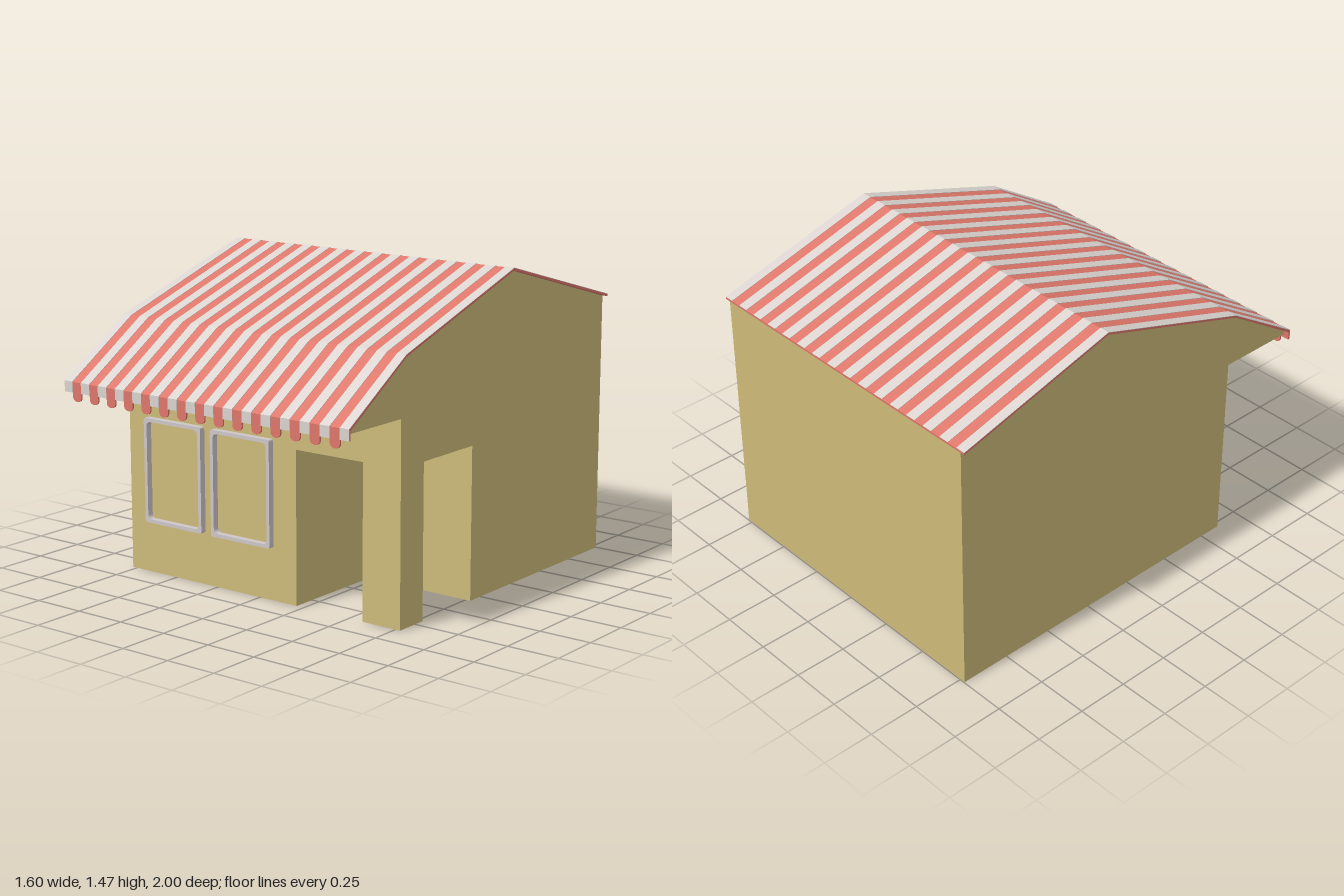
import * as THREE from 'three';

const mat = (name, color) => {
  const m = new THREE.MeshStandardMaterial({ color });
  m.name = name;
  return m;
};

// Extrudes a [z, y] side profile across the width from x0 to x1
function extrudeX(points, x0, x1) {
  const shape = new THREE.Shape(points.map(([z, y]) => new THREE.Vector2(z, y)));
  const geo = new THREE.ExtrudeGeometry(shape, { depth: x1 - x0, bevelEnabled: false });
  return geo.rotateY(-Math.PI / 2).translate(x1, 0, 0);
}

// Traces a rounded rectangle on a shape or path
function roundedRect(path, x0, y0, x1, y1, r) {
  path.moveTo(x0 + r, y0);
  path.lineTo(x1 - r, y0);
  path.quadraticCurveTo(x1, y0, x1, y0 + r);
  path.lineTo(x1, y1 - r);
  path.quadraticCurveTo(x1, y1, x1 - r, y1);
  path.lineTo(x0 + r, y1);
  path.quadraticCurveTo(x0, y1, x0, y1 - r);
  path.lineTo(x0, y0 + r);
  path.quadraticCurveTo(x0, y0, x0 + r, y0);
  return path;
}

export function createModel() {
  const model = new THREE.Group();
  model.name = 'shop';
  const wallMat = mat('sand wall', 0xcdbb79);
  const redMat = mat('awning red', 0xdf776b);
  const whiteMat = mat('awning white', 0xdbd4d1);
  const frameMat = mat('window frame grey', 0xcfc7c9);

  const add = (name, geo, material, parent = model) => {
    const mesh = new THREE.Mesh(geo, material);
    mesh.name = name;
    parent.add(mesh);
    return mesh;
  };

  // Walls: three slices across the width, leaving an open corner porch
  const W = 0.775, front = 0.61, back = -0.997;
  const porchBack = 0.08, pillarBack = 0.445, porchTop = 0.71;
  const gable = [[front, 1.19], [-0.195, 1.455], [back, 1.235], [back, 0]];
  const walls = new THREE.Group();
  walls.name = 'walls';
  model.add(walls);
  add('mainRoom', extrudeX([[front, 0], ...gable], -W, 0.21), wallMat, walls);
  add('porchBay', extrudeX([[porchBack, 0], [porchBack, porchTop], [front, porchTop], ...gable],
    0.21, 0.575), wallMat, walls);
  add('pillarBay', extrudeX([[porchBack, 0], [porchBack, porchTop], [pillarBack, porchTop],
    [pillarBack, 0], [front, 0], ...gable], 0.575, W), wallMat, walls);
  add('awningBox', extrudeX([[front, 0.925], [0.988, 0.925], [0.988, 0.945], [front, 1.19]], -W, W), wallMat);

  // Roof: red slab with a front valance, overlaid with thin white stripes
  const R = 0.8;
  const outer = [[1, 0.905], [1, 0.955], [front, 1.202], [-0.195, 1.467], [-1, 1.247]];
  const skin = [[0.998, 0.905], [0.998, 0.953], [front, 1.2], [-0.195, 1.465], [-1, 1.245]];
  const inner = [[0.99, 0.905], [0.99, 0.945], [front, 1.19], [-0.195, 1.455], [-1, 1.235]];
  const band = (a, b) => [...a, ...[...b].reverse()];
  const roof = new THREE.Group();
  roof.name = 'roof';
  model.add(roof);
  add('roofSlab', extrudeX(band(skin, inner), -R, R), redMat, roof);

  const pitch = 0.1037, half = pitch / 4, last = 7;
  for (let i = -last; i <= last + 1; i++) {
    const x0 = i === -last ? -R : (i - 1) * pitch + half;
    const x1 = i === last + 1 ? R : i * pitch - half;
    add('whiteStripe', extrudeX(band(outer, skin), x0, x1), whiteMat, roof);
  }

  // Scalloped tabs below each red stripe
  const tab = new THREE.Shape();
  tab.moveTo(-half, 0.906);
  tab.lineTo(-half, 0.886);
  tab.bezierCurveTo(-half, 0.858, half, 0.858, half, 0.886);
  tab.lineTo(half, 0.906);
  const tabGeo = new THREE.ExtrudeGeometry(tab, { depth: 0.008, bevelEnabled: false, curveSegments: 10 });
  for (let i = -last; i <= last; i++) {
    add('scallop', tabGeo, redMat, roof).position.set(i * pitch, 0, 0.99);
  }

  // Window frames
  const frame = roundedRect(new THREE.Shape(), -0.171, 0.245, 0.171, 0.74, 0.012);
  frame.holes.push(roundedRect(new THREE.Path(), -0.154, 0.262, 0.154, 0.723, 0.025));
  const frameGeo = new THREE.ExtrudeGeometry(frame, {
    depth: 0.03, bevelEnabled: false, curveSegments: 5,
  });
  for (const x of [-0.49, -0.09]) {
    add('windowFrame', frameGeo, frameMat).position.set(x, 0, front);
  }
  return model;
}
